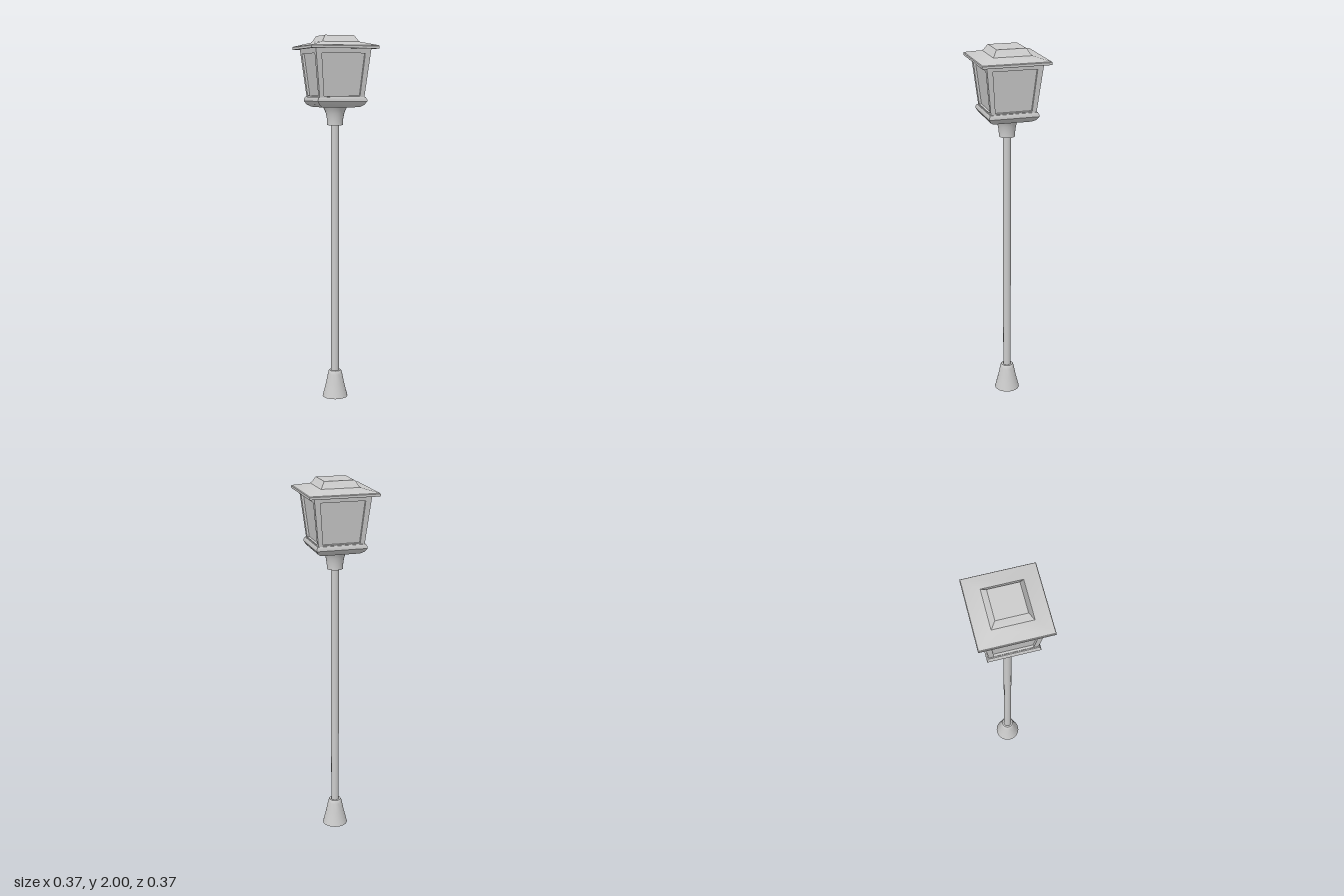
import * as THREE from 'three';
import { toCreasedNormals } from 'three/addons/utils/BufferGeometryUtils.js';

const material = new THREE.MeshStandardMaterial({ color: 0xcccccc, side: THREE.DoubleSide });

function addMesh(parent, name, geometry) {
  const mesh = new THREE.Mesh(geometry, material);
  mesh.name = name;
  parent.add(mesh);
  return mesh;
}

// Round part turned from [radius, y] points, bottom to top
function turned(points, sides = 24) {
  const profile = points.map(([r, y]) => new THREE.Vector2(r, y));
  return toCreasedNormals(new THREE.LatheGeometry(profile, sides), 0.7);
}

// Square part from [half width, y] points, bottom to top
function squared(points) {
  const profile = points.map(([w, y]) => new THREE.Vector2(w * Math.SQRT2, y));
  const geometry = new THREE.LatheGeometry(profile, 4, Math.PI / 4);
  return toCreasedNormals(geometry, 0.5);
}

// Trapezoid outline, symmetric about x = 0
function trapezoid(PathType, bottomHalf, topHalf, y0, y1) {
  const path = new PathType();
  path.moveTo(-bottomHalf, y0);
  path.lineTo(bottomHalf, y0);
  path.lineTo(topHalf, y1);
  path.lineTo(-topHalf, y1);
  path.closePath();
  return path;
}

export function createModel() {
  const group = new THREE.Group();
  group.name = 'streetLamp';

  // Flared foot, open below, and the post
  addMesh(group, 'base', turned([
    [0.07, 0], [0.06, 0.04], [0.05, 0.08], [0.04, 0.13], [0.036, 0.145], [0.032, 0.15], [0.022, 0.15],
  ]));
  const pole = addMesh(group, 'pole', new THREE.CylinderGeometry(0.022, 0.022, 1.4, 12, 1, true));
  pole.position.y = 0.84;

  // Flared neck under the lantern
  addMesh(group, 'neck', turned([
    [0.022, 1.53], [0.036, 1.53], [0.036, 1.522], [0.043, 1.522], [0.043, 1.535],
    [0.045, 1.56], [0.05, 1.585], [0.057, 1.605], [0.067, 1.622],
  ]));

  const lantern = new THREE.Group();
  lantern.name = 'lantern';
  lantern.scale.z = 0.985;
  group.add(lantern);

  // Square tray with a projecting lip
  addMesh(lantern, 'tray', squared([
    [0, 1.62], [0.105, 1.62], [0.125, 1.633], [0.137, 1.652],
    [0.137, 1.66], [0.13, 1.674], [0.11, 1.674], [0, 1.67],
  ]));

  // Four leaning window frames, each holding a recessed pane
  const bottomY = 1.66, topY = 1.935, bottomHalf = 0.123, topHalf = 0.154;
  const lean = Math.atan2(topHalf - bottomHalf, topY - bottomY);
  const height = Math.hypot(topY - bottomY, topHalf - bottomHalf);
  const outline = trapezoid(THREE.Shape, bottomHalf, topHalf, 0, height);
  outline.holes.push(trapezoid(THREE.Path, 0.1, 0.12, 0.02, 0.245));
  const frameGeometry = new THREE.ExtrudeGeometry(outline, { depth: 0.018, bevelEnabled: false });
  frameGeometry.translate(0, 0, -0.018);
  const paneGeometry = new THREE.ShapeGeometry(trapezoid(THREE.Shape, 0.105, 0.125, 0.01, 0.255));
  paneGeometry.translate(0, 0, -0.012);

  ['front', 'left', 'back', 'right'].forEach((side, i) => {
    const turn = new THREE.Group();
    turn.name = side + 'Window';
    turn.rotation.y = i * Math.PI / 2;
    const panel = new THREE.Group();
    panel.name = side + 'Panel';
    panel.position.set(0, bottomY, bottomHalf);
    panel.rotation.x = lean;
    addMesh(panel, side + 'Frame', frameGeometry);
    addMesh(panel, side + 'Pane', paneGeometry);
    turn.add(panel);
    lantern.add(turn);
  });

  // Overhanging roof with a recessed underside and raised cap
  addMesh(lantern, 'roof', squared([
    [0, 1.937], [0.172, 1.937], [0.172, 1.928], [0.185, 1.928], [0.187, 1.931],
    [0.187, 1.941], [0.184, 1.945], [0.105, 1.965], [0.098, 1.972], [0.084, 1.996], [0.08, 2], [0, 2],
  ]));

  return group;
}
